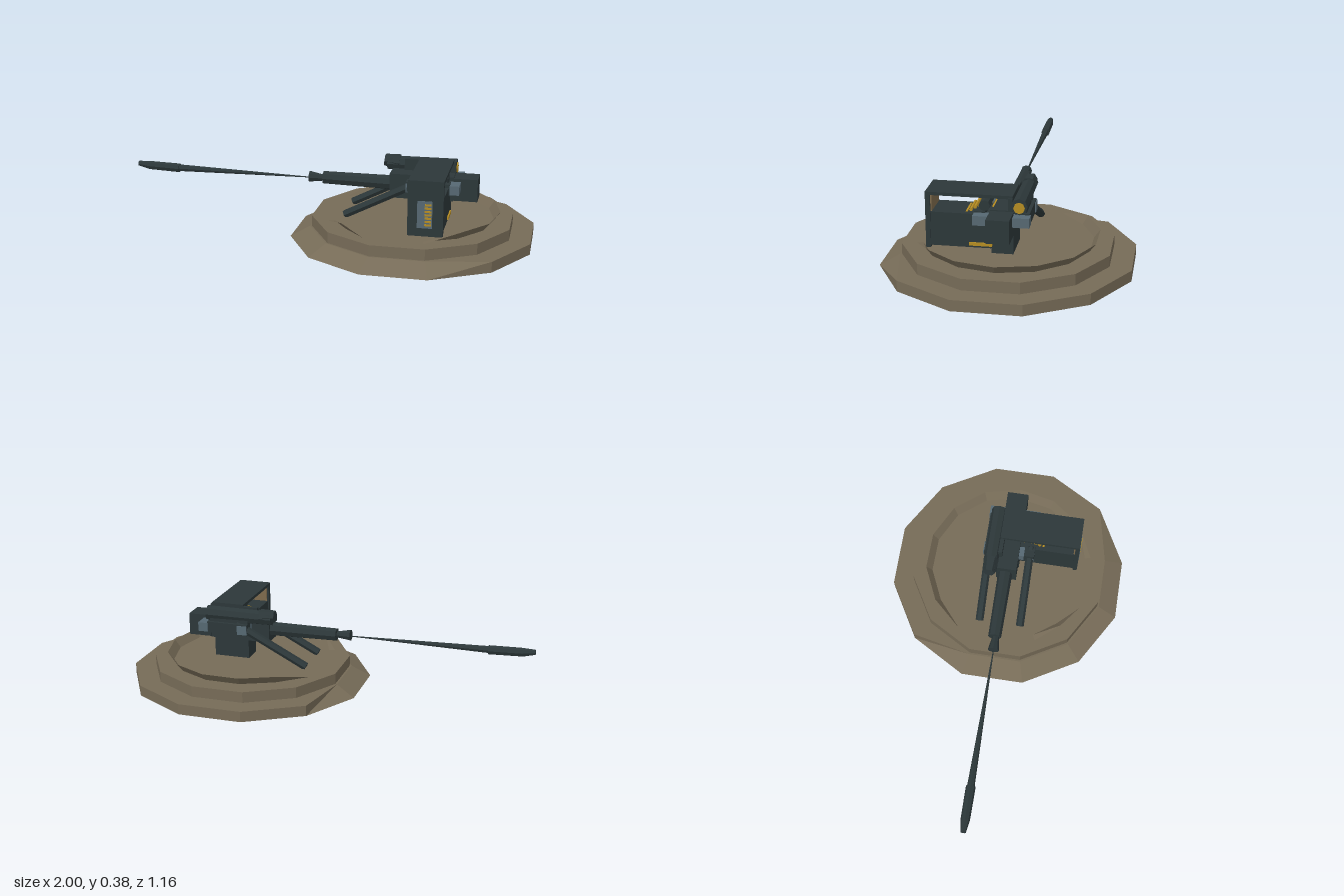
import * as THREE from 'three';

const mat = (name, color, side = THREE.FrontSide) => {
  const m = new THREE.MeshStandardMaterial({ color, side });
  m.name = name;
  m.flatShading = true;
  return m;
};

export function createModel() {
  const root = new THREE.Group();
  root.name = 'gunEmplacement';
  const earth = mat('earth', 0x766b57, THREE.DoubleSide);
  const gunmetal = mat('gunmetal', 0x2c3739);
  const steel = mat('steel', 0x566872);
  const brass = mat('brass', 0xb58c22);
  const tan = mat('tan', 0x7d6a4c);

  const add = (name, geo, m, x = 0, y = 0, z = 0) => {
    const mesh = new THREE.Mesh(geo, m);
    mesh.name = name;
    mesh.position.set(x, y, z);
    root.add(mesh);
    return mesh;
  };
  // Box given by its extents on each axis
  const box = (name, m, x0, x1, y0, y1, z0, z1) =>
    add(name, new THREE.BoxGeometry(x1 - x0, y1 - y0, z1 - z0), m,
      (x0 + x1) / 2, (y0 + y1) / 2, (z0 + z1) / 2);
  // Tapered rod between two points
  const rod = (name, m, a, b, ra, rb, sides = 8) => {
    const p = new THREE.Vector3(...a), q = new THREE.Vector3(...b);
    const mesh = add(name, new THREE.CylinderGeometry(rb, ra, p.distanceTo(q), sides), m);
    mesh.position.copy(p).lerp(q, 0.5);
    mesh.quaternion.setFromUnitVectors(new THREE.Vector3(0, 1, 0), q.sub(p).normalize());
    return mesh;
  };

  // Twelve-sided mound: lower tier slopes in at the front and left only
  const cx = 0.42;
  const lower = new THREE.CylinderGeometry(0.6, 0.6, 0.052, 12);
  lower.rotateY(Math.PI / 12);
  const lp = lower.attributes.position;
  for (let i = 0; i < lp.count; i++) {
    const a = Math.atan2(lp.getZ(i), lp.getX(i)) * 180 / Math.PI;
    if (lp.getY(i) > 0 && (a > 60 || a < -150)) {
      lp.setX(i, lp.getX(i) * 0.84);
      lp.setZ(i, lp.getZ(i) * 0.84);
    }
  }
  add('lowerTier', lower, earth, cx, 0.026, 0);
  const upper = new THREE.CylinderGeometry(0.495, 0.495, 0.055, 12);
  upper.rotateY(Math.PI / 12);
  add('upperTier', upper, earth, cx, 0.078, 0);

  // Broken earth rim, flared outward and tapering to nothing at each end
  const rim = (name, start, length, segments, height) => {
    const rad = Math.PI / 180;
    const geo = new THREE.CylinderGeometry(0.425, 0.395, height, segments, 1, true, start * rad, length * rad);
    const p = geo.attributes.position;
    for (let i = 0; i <= segments; i += segments) p.setY(i, -height / 2);
    add(name, geo, earth, cx, 0.105 + height / 2, 0);
  };
  rim('mainRim', 15, 227, 9, 0.04);
  rim('smallRim', -64, 40, 2, 0.035);

  // Pedestal, crossbars and legs
  box('pedestal', gunmetal, 0.42, 0.6, 0.105, 0.21, -0.05, 0.05);
  for (const x of [0.4, 0.605]) box('crossbar', steel, x, x + 0.05, 0.255, 0.3, -0.13, 0.125);
  for (const s of [-1, 1]) {
    rod('leg', gunmetal, [0.1, 0.115, s * 0.103], [0.46, 0.3, s * 0.103], 0.02, 0.02, 6);
    box('legMount', gunmetal, 0.4, 0.61, 0.25, 0.306, s * 0.1 - 0.025, s * 0.1 + 0.025);
  }

  // Gun body and barrel
  box('receiver', gunmetal, 0.31, 0.62, 0.2, 0.32, -0.05, 0.05);
  box('rearReceiver', gunmetal, 0.62, 0.735, 0.205, 0.315, -0.055, 0.05);
  rod('barrelJacket', gunmetal, [0.32, 0.26, -0.005], [-0.03, 0.263, -0.005], 0.036, 0.032);
  rod('muzzle', gunmetal, [-0.03, 0.262, 0], [-0.1, 0.265, 0], 0.016, 0.028);

  // Long tapering shot ahead of the muzzle
  rod('shotTail', gunmetal, [-0.09, 0.26, 0], [-0.79, 0.264, 0], 0.002, 0.018);
  rod('shotBody', gunmetal, [-0.78, 0.263, 0], [-0.94, 0.268, 0], 0.023, 0.022);
  rod('shotNose', gunmetal, [-0.94, 0.268, 0], [-1, 0.274, 0], 0.022, 0.013);

  // Sight tube beside the receiver
  rod('sight', gunmetal, [0.28, 0.34, -0.08], [0.62, 0.34, -0.08], 0.035, 0.038);
  rod('sightLens', brass, [0.619, 0.335, -0.08], [0.625, 0.335, -0.08], 0.026, 0.026);
  rod('sightHood', gunmetal, [0.265, 0.352, -0.08], [0.34, 0.345, -0.08], 0.03, 0.038, 6);
  box('sightBase', gunmetal, 0.4, 0.6, 0.3, 0.325, -0.11, -0.03);

  // Ammunition box with its shield and roof plate
  box('ammoBox', gunmetal, 0.45, 0.605, 0.13, 0.29, 0.05, 0.325);
  box('shield', gunmetal, 0.445, 0.61, 0.12, 0.385, 0.325, 0.347);
  box('shieldLining', tan, 0.455, 0.6, 0.29, 0.37, 0.319, 0.325);
  box('roofPlate', gunmetal, 0.445, 0.61, 0.37, 0.385, -0.05, 0.33);
  box('roofPost', gunmetal, 0.37, 0.62, 0.3, 0.375, -0.05, -0.03);
  box('boxWindow', steel, 0.49, 0.56, 0.16, 0.29, 0.346, 0.35);
  for (let i = 0; i < 7; i++)
    box('windowRound', brass, 0.525, 0.556, 0.172 + i * 0.016, 0.181 + i * 0.016, 0.348, 0.353);

  // Belt of rounds arching from the box to the receiver
  for (let i = 0; i < 7; i++) {
    const t = i / 6, z = 0.165 - t * 0.12, y = 0.285 + Math.sin(t * Math.PI * 0.75) * 0.04;
    rod('beltRound', brass, [0.47, y, z], [0.58, y, z], 0.008, 0.008, 6);
  }
  rod('feedRoller', gunmetal, [0.48, 0.33, 0.08], [0.6, 0.33, 0.08], 0.026, 0.026);
  box('spentRounds', brass, 0.6, 0.612, 0.14, 0.155, 0.045, 0.15);

  return root;
}
